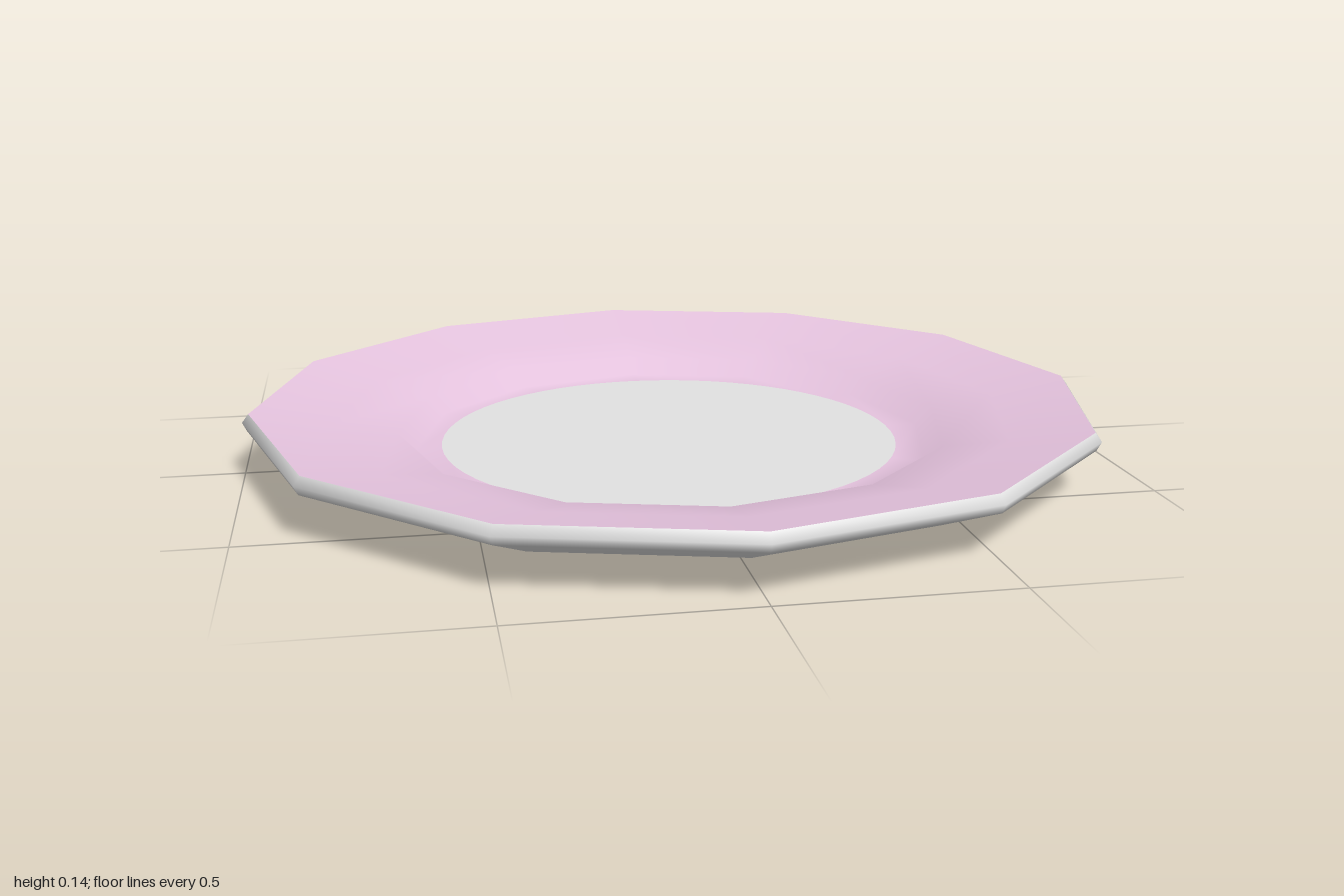
import * as THREE from 'three';

const SIDES = 12;

export function createModel() {
  const plate = new THREE.Group();
  plate.name = 'plate';

  const porcelain = new THREE.MeshStandardMaterial({ name: 'pale porcelain', color: 0xe2e2e2 });
  const pink = new THREE.MeshStandardMaterial({ name: 'pink glaze', color: 0xe6c4df });

  const add = (name, geometry, material) => {
    const mesh = new THREE.Mesh(geometry, material);
    mesh.name = name;
    plate.add(mesh);
    return mesh;
  };
  // Twelve-sided ring from [radius, height] pairs
  const turn = (profile) =>
    new THREE.LatheGeometry(profile.map(([r, y]) => new THREE.Vector2(r, y)), SIDES);

  // Flat underside
  add('base', turn([[0, 0], [0.7, 0]]), porcelain);

  // Flaring underside that rolls into the thin rim
  add('outerWall', turn([[0.7, 0], [0.84, 0.035], [0.99, 0.1], [1, 0.12], [0.985, 0.14]]), porcelain);

  // Glazed upper face: broad border, short steep step, flat well
  add('glazedFace', turn([
    [0.985, 0.14], [0.8, 0.104], [0.65, 0.075], [0.61, 0.036], [0.54, 0.036], [0, 0.036],
  ]), pink);

  // Round unglazed centre, a hair above the well and slightly off centre
  const centre = add('centreDisc', new THREE.CircleGeometry(0.54, 64).rotateX(-Math.PI / 2), porcelain);
  centre.position.set(-0.01, 0.038, 0.007);

  return plate;
}
